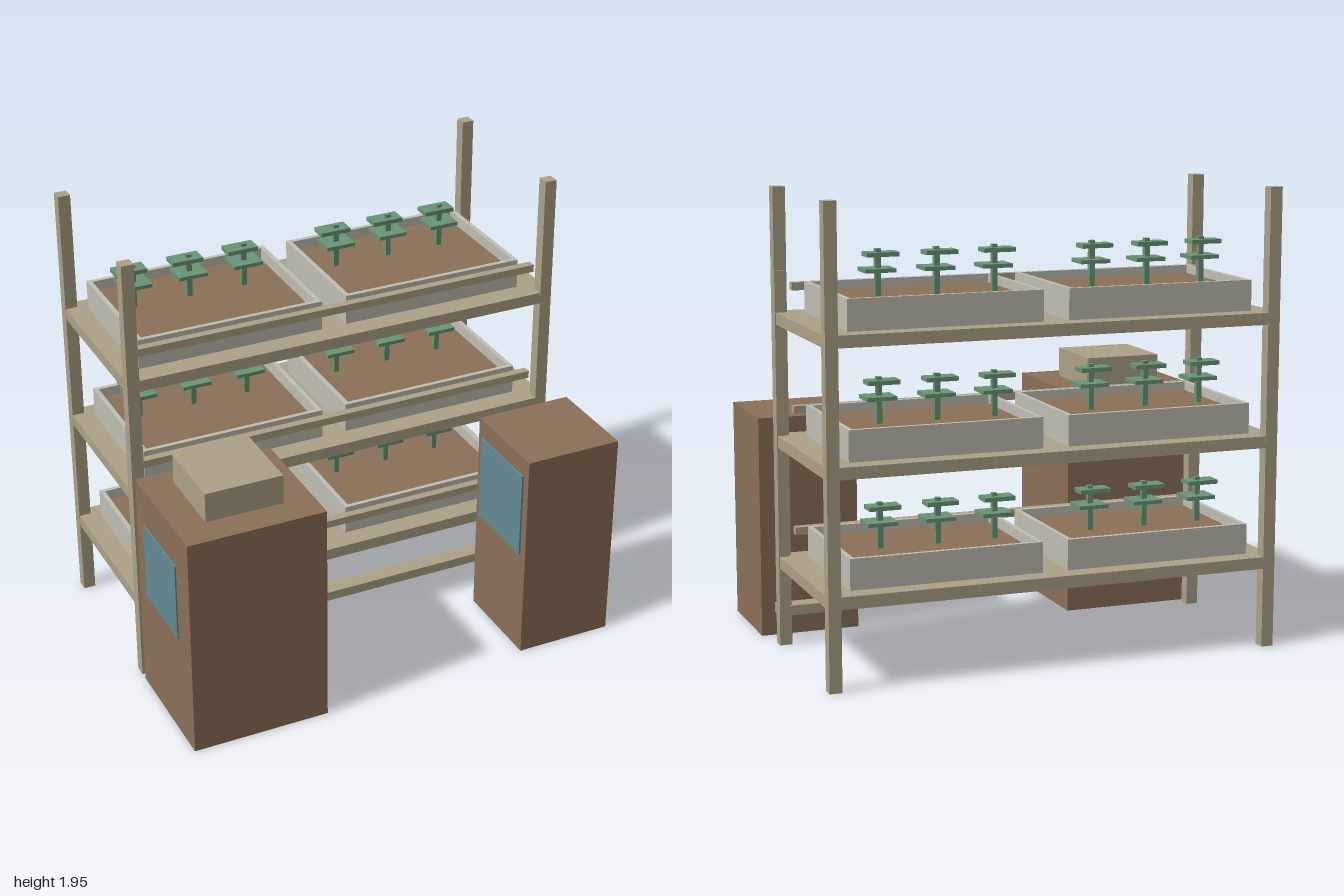
import * as THREE from 'three';

const material = (name, color) => {
  const m = new THREE.MeshStandardMaterial({ color });
  m.name = name;
  return m;
};

export function createModel() {
  const wood = material('pale wood', 0xaea388);
  const brown = material('brown', 0x8c7158);
  const grey = material('tray grey', 0xc0c0b4);
  const green = material('leaf green', 0x6a9676);
  const teal = material('screen teal', 0x648a96);

  const model = new THREE.Group();
  model.name = 'plantRack';

  // Box given by its extents on each axis
  const box = (parent, name, mat, [x0, x1], [y0, y1], [z0, z1]) => {
    const mesh = new THREE.Mesh(new THREE.BoxGeometry(x1 - x0, y1 - y0, z1 - z0), mat);
    mesh.position.set((x0 + x1) / 2, (y0 + y1) / 2, (z0 + z1) / 2);
    mesh.name = name;
    parent.add(mesh);
    return mesh;
  };
  const around = (c, size) => [c - size / 2, c + size / 2];

  // Corner posts
  for (const x of [[-0.995, -0.942], [0.913, 0.966]])
    for (const z of [[-0.693, -0.64], [0.045, 0.098]])
      box(model, 'post', wood, x, [0, 1.95], z);

  // Open tray with a soil bed
  const addTray = (parent, x0, x1, y) => {
    const tray = new THREE.Group();
    tray.name = 'tray';
    parent.add(tray);
    const z0 = -0.607, z1 = 0.0, t = 0.02, top = y + 0.13;
    box(tray, 'trayFloor', grey, [x0 + t, x1 - t], [y, y + t], [z0 + t, z1 - t]);
    box(tray, 'trayBack', grey, [x0, x1], [y, top], [z0, z0 + t]);
    box(tray, 'trayFront', grey, [x0, x1], [y, top], [z1 - t, z1]);
    box(tray, 'traySide', grey, [x0, x0 + t], [y, top], [z0 + t, z1 - t]);
    box(tray, 'traySide', grey, [x1 - t, x1], [y, top], [z0 + t, z1 - t]);
    box(tray, 'soil', brown, [x0 + 0.04, x1 - 0.04], [y + t, y + 0.1], [z0 + 0.04, z1 - 0.045]);
  };

  // Seedling: stem with two flat leaf plates
  const addPlant = (parent, x, y) => {
    const plant = new THREE.Group();
    plant.name = 'plant';
    parent.add(plant);
    const z = -0.35;
    box(plant, 'stem', green, around(x, 0.023), [y + 0.09, y + 0.293], around(z, 0.023));
    box(plant, 'lowerLeaf', green, around(x + 0.002, 0.13), [y + 0.2, y + 0.216], around(z, 0.11));
    box(plant, 'upperLeaf', green, around(x - 0.014, 0.137), [y + 0.262, y + 0.28], around(z, 0.075));
  };

  // Three levels: shelf, trays, plants and front rail
  for (const y of [0.39, 0.91, 1.43]) {
    const level = new THREE.Group();
    level.name = 'level';
    model.add(level);
    box(level, 'shelf', wood, [-0.994, 0.965], [y - 0.05, y], [-0.692, 0.097]);
    box(level, 'frontRail', wood, [-0.97, 0.895], [y + 0.09, y + 0.123], [0.026, 0.062]);
    for (const [x0, x1, first] of [[-0.905, -0.085, -0.79], [0.025, 0.85, 0.143]]) {
      addTray(level, x0, x1, y);
      for (let i = 0; i < 3; i++) addPlant(level, first + i * 0.25, y);
    }
  }

  // Supply pipes
  box(model, 'verticalPipe', wood, [0.925, 0.969], [0.15, 1.605], [0.03, 0.072]);
  box(model, 'bottomPipe', wood, [-0.78, 0.97], [0.132, 0.174], [0.03, 0.11]);

  // Large cabinet with a box on top and a side screen
  box(model, 'largeCabinet', brown, [-0.994, -0.39], [0, 1.0], [0.13, 0.693]);
  box(model, 'topBox', wood, [-0.86, -0.52], [1.0, 1.13], [0.217, 0.56]);
  box(model, 'largeCabinetScreen', teal, [-1.0, -0.994], [0.48, 0.83], [0.215, 0.56]);

  // Small cabinet with a side screen
  box(model, 'smallCabinet', brown, [0.566, 1.0], [0, 0.955], [0.217, 0.65]);
  box(model, 'smallCabinetScreen', teal, [0.558, 0.566], [0.48, 0.87], [0.25, 0.61]);

  return model;
}
